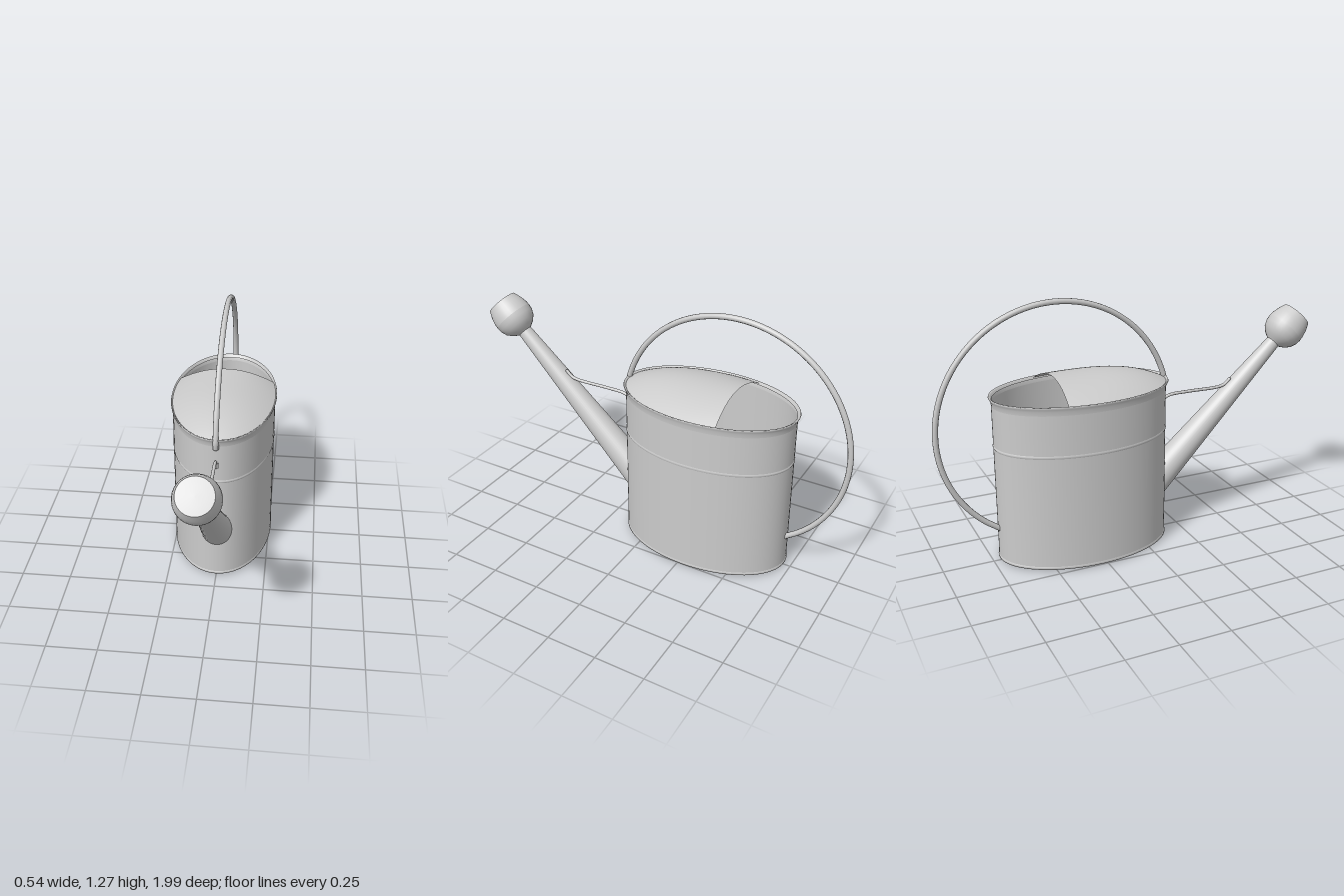
import * as THREE from 'three';

const CZ = -0.278, RX = 0.26, RZ = 0.437; // centre and half-axes of the oval can
const mat = new THREE.MeshStandardMaterial({ color: 0xcccccc, side: THREE.DoubleSide });
const v = (x, y, z) => new THREE.Vector3(x, y, z);

function add(parent, name, geometry) {
  const mesh = new THREE.Mesh(geometry, mat);
  mesh.name = name;
  parent.add(mesh);
  return mesh;
}

const lathe = (pts, seg) => new THREE.LatheGeometry(pts.map(([r, y]) => new THREE.Vector2(r, y)), seg);

// Turned profile (radius relative to the can wall, height) stretched to the oval plan
const oval = (pts) => lathe(pts, 72).scale(RX, 1, RZ).translate(0, 0, CZ);

// Round rod through points, with rounded ends
function rod(parent, name, pts, radius, seg) {
  const group = new THREE.Group();
  group.name = name;
  const curve = new THREE.CatmullRomCurve3(pts, false, 'centripetal');
  add(group, name + 'Rod', new THREE.TubeGeometry(curve, seg, radius, 10));
  for (const p of [pts[0], pts[pts.length - 1]])
    add(group, name + 'End', new THREE.SphereGeometry(radius, 10, 8)).position.copy(p);
  parent.add(group);
}

// Domed cover over the front of the opening, open at the rear
function hoodGeometry() {
  const g = new THREE.PlaneGeometry(1, 1, 32, 28);
  const p = g.attributes.position;
  const a0 = Math.asin(-0.152 / RZ), a1 = Math.PI / 2;
  for (let i = 0; i < p.count; i++) {
    const s = p.getX(i) * 2, a = a0 + (0.5 - p.getY(i)) * (a1 - a0);
    const d = Math.max(0, Math.sin(a));
    const rise = (1 - s * s) * (1 - d ** 3);
    const back = a < 0 ? 0.012 * rise * (a / a0) : 0; // rear edge leans forward
    p.setXYZ(i, s * RX * Math.cos(a), 0.828 + 0.074 * rise, CZ + RZ * Math.sin(a) + back);
  }
  g.computeVertexNormals();
  return g;
}

export function createModel() {
  const model = new THREE.Group();
  model.name = 'wateringCan';

  // Oval can
  const body = new THREE.Group();
  body.name = 'body';
  model.add(body);
  add(body, 'bottom', oval([[0, 0], [0.6, 0.002], [0.97, 0.006]]));
  add(body, 'bottomEdge', oval([[0.97, 0.006], [1.006, 0.01], [1.008, 0.018], [1, 0.024]]));
  add(body, 'wall', oval([[1, 0.02], [1, 0.8]]));
  add(body, 'seam', oval([[1, 0.58], [1.006, 0.585], [1.006, 0.59], [1, 0.595]]));
  add(body, 'rim', oval([[1, 0.79], [1.006, 0.81], [1.022, 0.822], [1.03, 0.829], [1.024, 0.835], [1.005, 0.83], [0.99, 0.82]]));
  add(body, 'hood', hoodGeometry());

  // Tapered spout and rose share one tilted axis
  const root = v(0, 0.255, 0.1), tip = v(0, 0.935, 0.807);
  const axis = tip.clone().sub(root), length = axis.length();
  const spout = new THREE.Group();
  spout.name = 'spoutAssembly';
  spout.position.copy(root);
  spout.quaternion.setFromUnitVectors(v(0, 1, 0), axis.normalize());
  model.add(spout);
  add(spout, 'spout', lathe([[0.081, 0], [0.036, length]], 36));
  const rose = new THREE.Group();
  rose.name = 'rose';
  rose.position.y = length - 0.005;
  spout.add(rose);
  add(rose, 'roseBack', lathe([[0.036, -0.008], [0.046, 0], [0.066, 0.012], [0.088, 0.035], [0.1, 0.064], [0.103, 0.09]], 32));
  add(rose, 'roseFront', lathe([[0.103, 0.09], [0.101, 0.115], [0.094, 0.145], [0.08, 0.182]], 32));
  add(rose, 'roseFace', lathe([[0.08, 0.182], [0.045, 0.185], [0, 0.186]], 32));

  // Large hoop handle from the front rim over to the lower back
  const hoop = [v(0, 0.785, 0.164), v(0, 0.808, 0.168)];
  for (let i = 0; i <= 24; i++) {
    const a = THREE.MathUtils.degToRad(16 + (238 - 16) * i / 24);
    hoop.push(v(0, 0.67 + 0.587 * Math.sin(a), -0.4 + 0.587 * Math.cos(a)));
  }
  rod(model, 'handle', hoop, 0.0138, 120);
  add(model, 'handleBracket', new THREE.BoxGeometry(0.03, 0.025, 0.012)).position.set(0, 0.79, 0.164);

  // Thin brace between can and spout
  rod(model, 'brace', [
    v(0, 0.675, 0.164), v(0, 0.705, 0.167), v(0, 0.722, 0.2), v(0, 0.726, 0.3),
    v(0, 0.726, 0.48), v(0, 0.735, 0.515), v(0, 0.76, 0.545),
  ], 0.008, 48);
  add(model, 'braceBracket', new THREE.BoxGeometry(0.026, 0.025, 0.012)).position.set(0, 0.685, 0.162);

  return model;
}
